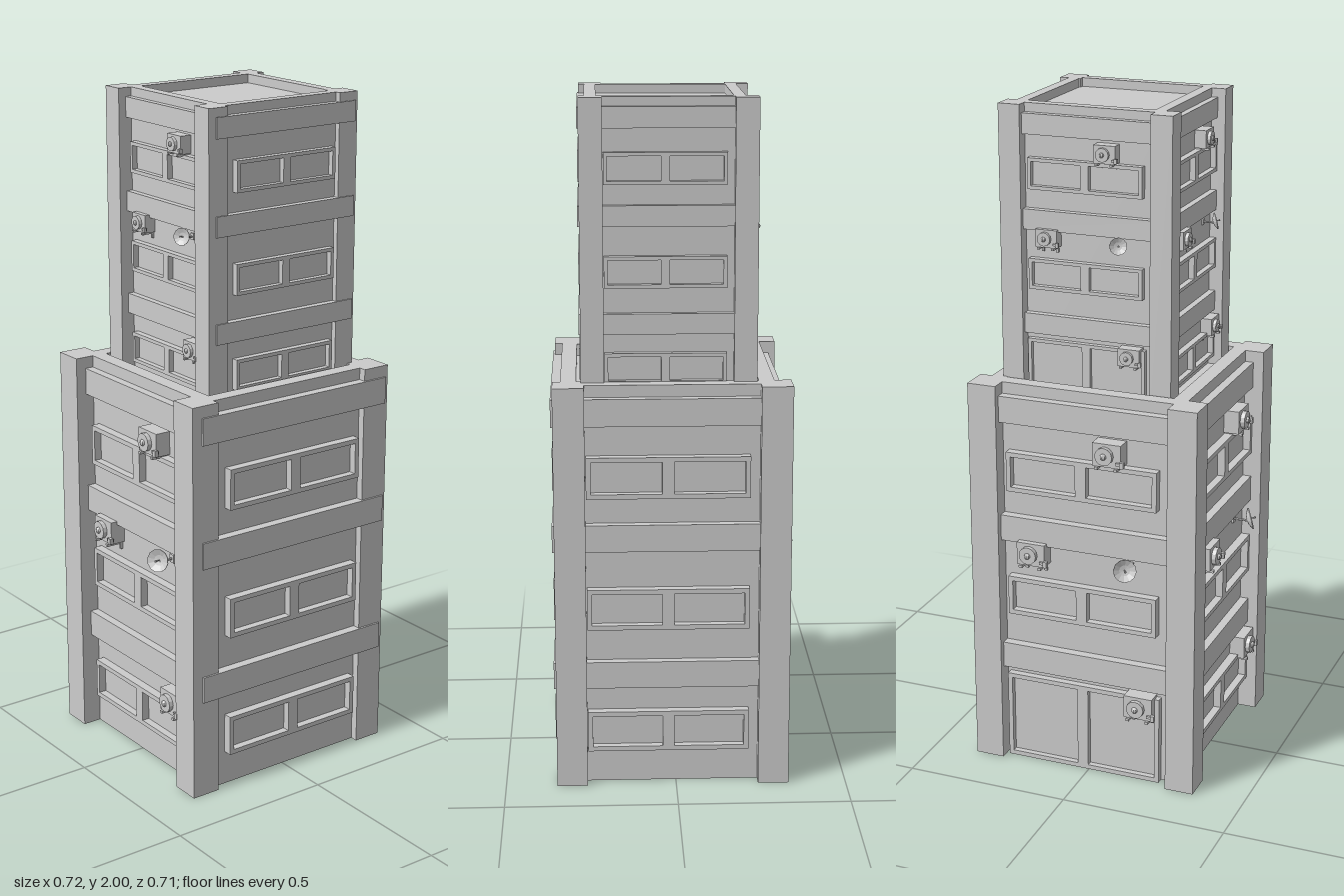
import * as THREE from 'three';

const material = new THREE.MeshStandardMaterial({ color: 0xcccccc, flatShading: true });
const WALL = 0.305; // half width of the wall block
const TOP = 1.2;

function add(parent, name, geometry, x, y, z) {
  const mesh = new THREE.Mesh(geometry, material);
  mesh.name = name;
  mesh.position.set(x, y, z);
  parent.add(mesh);
  return mesh;
}
const box = (parent, name, w, h, d, x, y, z) =>
  add(parent, name, new THREE.BoxGeometry(w, h, d), x, y, z);

// Framed opening with two panes; the local wall surface lies at z = 0
function opening(name, w, h, rim, depth) {
  const g = new THREE.Group();
  g.name = name;
  const s = new THREE.Shape();
  s.moveTo(-w / 2, -h / 2).lineTo(w / 2, -h / 2).lineTo(w / 2, h / 2).lineTo(-w / 2, h / 2).closePath();
  const mullion = 0.017;
  for (const side of [-1, 1]) {
    const a = side * mullion, b = side * (w / 2 - rim), t = h / 2 - rim;
    const hole = new THREE.Path();
    hole.moveTo(a, -t).lineTo(a, t).lineTo(b, t).lineTo(b, -t).closePath();
    s.holes.push(hole);
  }
  add(g, 'frame', new THREE.ExtrudeGeometry(s, { depth, bevelEnabled: false }), 0, 0, 0);
  box(g, 'panes', w - rim, h - rim, 0.004, 0, 0, 0.002);
  return g;
}

// Wall-mounted cooling unit with round fan, pipe and bracket
function coolingUnit() {
  const g = new THREE.Group();
  g.name = 'coolingUnit';
  box(g, 'casing', 0.088, 0.07, 0.047, 0, 0, 0.0235);
  const fan = add(g, 'fanRing', new THREE.CylinderGeometry(0.027, 0.027, 0.014, 12), -0.005, 0, 0.053);
  fan.rotation.x = Math.PI / 2;
  add(g, 'fanHub', new THREE.SphereGeometry(0.01, 8, 6), -0.005, 0, 0.059);
  box(g, 'sidePipe', 0.012, 0.018, 0.012, 0.05, -0.02, 0.054);
  box(g, 'pipeArm', 0.02, 0.008, 0.012, 0.04, -0.02, 0.048);
  for (const x of [-0.03, 0.03]) {
    box(g, 'bracketArm', 0.01, 0.008, 0.055, x, -0.039, 0.0275);
    box(g, 'bracketLeg', 0.01, 0.025, 0.008, x, -0.048, 0.004);
  }
  return g;
}

// Tilted dish on an arm
function dish() {
  const g = new THREE.Group();
  g.name = 'dishAntenna';
  const head = new THREE.Group();
  head.name = 'dishHead';
  const profile = [[0, 0], [0.016, 0.003], [0.034, 0.012], [0.034, 0.015], [0.016, 0.006], [0, 0.003]]
    .map(([r, y]) => new THREE.Vector2(r, y));
  const bowl = add(head, 'bowl', new THREE.LatheGeometry(profile, 12), 0, 0, -0.006);
  bowl.rotation.x = Math.PI / 2;
  const rod = add(head, 'feedRod', new THREE.CylinderGeometry(0.002, 0.002, 0.026, 6), 0, 0, 0.008);
  rod.rotation.x = Math.PI / 2;
  add(head, 'feed', new THREE.SphereGeometry(0.004, 6, 4), 0, 0, 0.021);
  head.position.z = 0.05;
  head.rotation.set(-0.25, 0.46, 0);
  g.add(head);
  const arm = add(g, 'arm', new THREE.CylinderGeometry(0.004, 0.004, 0.05, 6), 0, -0.005, 0.023);
  arm.rotation.x = Math.PI / 2;
  box(g, 'mount', 0.018, 0.025, 0.006, 0, -0.005, 0.003);
  return g;
}

function createTower(name) {
  const tower = new THREE.Group();
  tower.name = name;

  // Corner posts
  for (const x of [-0.3, 0.3175])
    for (const z of [-0.286, 0.305])
      box(tower, 'cornerPost', 0.088, TOP, 0.09, x, TOP / 2, z);

  const body = new THREE.Group();
  body.name = 'body';
  body.position.set(0.019, 0, 0.0225);
  tower.add(body);

  // Wall block and the bands between storeys
  box(body, 'walls', WALL * 2, 1.16, WALL * 2, 0, 0.58, 0);
  for (const y of [0.34, 0.755, 1.125]) box(body, 'floorBand', 0.662, 0.08, 0.667, 0, y, 0);

  // Four sides: 0 front, 1 right, 2 back, 3 left
  for (let i = 0; i < 4; i++) {
    const side = new THREE.Group();
    side.name = ['frontSide', 'rightSide', 'backSide', 'leftSide'][i];
    side.rotation.y = i * Math.PI / 2;
    body.add(side);
    const put = (part, x, y, z = WALL) => { part.position.set(x, y, z); side.add(part); };

    box(side, 'parapet', 0.57, 0.04, 0.045, 0.02, TOP - 0.02, WALL - 0.0225);

    [0.165, 0.54, 0.934].forEach((y, floor) => {
      if (i === 2 && floor === 0) put(opening('doors', 0.49, 0.276, 0.014, 0.022), 0, 0.138);
      else put(opening('window', 0.47, 0.122, 0.014, 0.027), 0, y);
    });

    if (i >= 2) {
      put(coolingUnit(), 0.09, 1.035);
      put(coolingUnit(), -0.152, 0.69);
      put(coolingUnit(), 0.187, 0.25);
      put(dish(), 0.147, 0.69);
    }
  }
  return tower;
}

export function createModel() {
  const model = new THREE.Group();
  model.name = 'steppedTower';
  model.add(createTower('lowerTower'));

  // Smaller copy rising out of the lower roof
  const upper = createTower('upperTower');
  const s = 0.737;
  upper.scale.setScalar(s);
  upper.position.set(0.025, 2 - TOP * s, 0.011);
  model.add(upper);
  return model;
}
